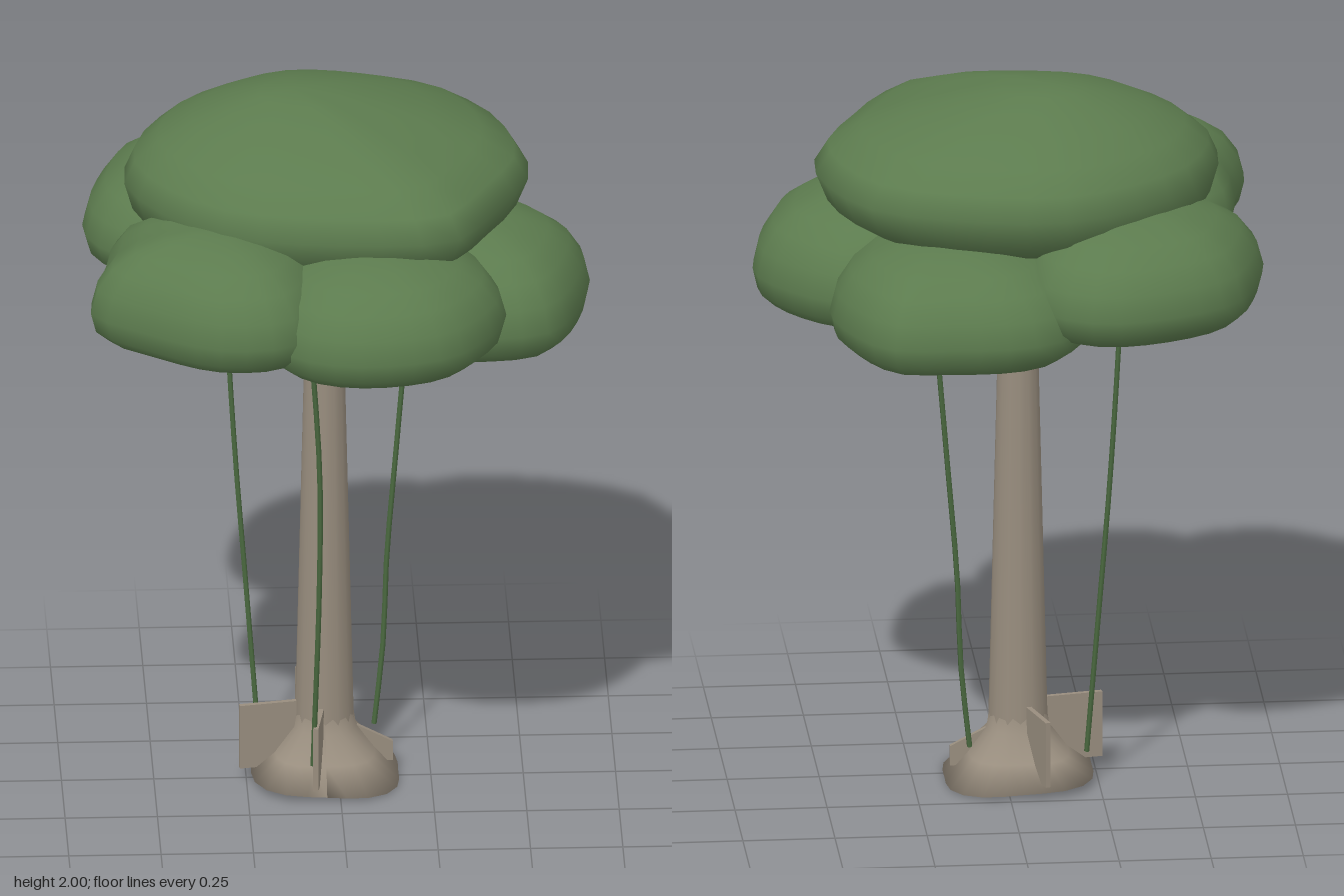
import * as THREE from 'three';
import { mergeVertices } from 'three/addons/utils/BufferGeometryUtils.js';

const material = (name, color, side = THREE.FrontSide) => {
  const m = new THREE.MeshStandardMaterial({ color, side });
  m.name = name;
  return m;
};

// Cushion profiles from crest to underside: [share of plan outline, share of height]
const CUSHION = [[0, 1], [0.2, 0.99], [0.42, 0.95], [0.65, 0.86], [0.83, 0.73], [0.95, 0.55],
  [1, 0.34], [0.96, 0.17], [0.85, 0.07], [0.6, 0.02], [0.3, 0], [0, 0]];
const CAP = [[0, 1], [0.2, 0.98], [0.4, 0.91], [0.6, 0.82], [0.8, 0.7], [0.94, 0.56],
  [1, 0.4], [0.95, 0.2], [0.82, 0.07], [0.5, 0], [0, 0]];

// Foliage lofted from a plan outline (x, z); rings slide towards the crest as they rise
function foliageGeometry(outline, crest, bottom, top, profile) {
  const curve = new THREE.CatmullRomCurve3(outline.map(([x, z]) => new THREE.Vector3(x, 0, z)), true);
  const sides = 30;
  const rim = curve.getSpacedPoints(sides).slice(0, sides);
  const positions = [];
  const index = [];
  profile.forEach(([share, h], i) => {
    rim.forEach((p, j) => {
      positions.push(crest[0] + (p.x - crest[0]) * share, bottom + (top - bottom) * h,
        crest[1] + (p.z - crest[1]) * share);
      if (i === profile.length - 1) return;
      const a = i * sides + j, c = i * sides + (j + 1) % sides;
      index.push(a, c, a + sides, c, c + sides, a + sides);
    });
  });
  let geo = new THREE.BufferGeometry();
  geo.setAttribute('position', new THREE.Float32BufferAttribute(positions, 3));
  geo.setIndex(index);
  geo = mergeVertices(geo, 1e-4);
  geo.computeVertexNormals();
  return geo;
}

export function createModel() {
  const tree = new THREE.Group();
  tree.name = 'tree';
  const bark = material('bark', 0x988d7e, THREE.DoubleSide);
  const leaf = material('leaf green', 0x5c7b4e);
  const vineGreen = material('vine green', 0x4b6a40);

  const add = (parent, name, geo, mat) => {
    const mesh = new THREE.Mesh(geo, mat);
    mesh.name = name;
    parent.add(mesh);
    return mesh;
  };

  // Trunk, roots and branches share one axis
  const wood = new THREE.Group();
  wood.name = 'wood';
  wood.position.set(-0.037, 0, -0.03);
  tree.add(wood);

  // Tapered trunk
  add(wood, 'trunk', new THREE.CylinderGeometry(0.05, 0.082, 1.34, 14).translate(0, 0.79, 0), bark);

  // Flared root base with four diagonal lobes, closed underneath
  const flareProfile = [[0.001, 0.012], [0.12, 0.012], [0.215, 0.012], [0.145, 0.075], [0.085, 0.145], [0.075, 0.21]]
    .map(([r, y]) => new THREE.Vector2(r, y));
  const flare = new THREE.LatheGeometry(flareProfile, 24);
  const fp = flare.attributes.position;
  for (let i = 0; i < fp.count; i++) {
    const x = fp.getX(i), z = fp.getZ(i), y = fp.getY(i);
    const k = y < 0.1 ? 1 - 0.07 * Math.cos(4 * Math.atan2(z, x)) : 1;
    fp.setXYZ(i, x * k, y < 0.02 ? y - 0.055 * x : y, z * k);
  }
  flare.computeVertexNormals();
  add(wood, 'rootFlare', flare, bark);

  // Thin upright buttress plates: angle about y, reach, top height inside and outside
  const fins = [
    [0, 0.185, 0.165, 0.09],
    [Math.PI / 2 + 0.15, 0.212, 0.22, 0.22],
    [Math.PI - 0.18, 0.235, 0.22, 0.22],
    [-Math.PI / 2 - 0.3, 0.218, 0.22, 0.22],
  ];
  fins.forEach(([angle, reach, inner, outer]) => {
    const shape = new THREE.Shape([[0.04, 0.035], [reach, 0.035], [reach, outer], [0.04, inner]]
      .map(([x, y]) => new THREE.Vector2(x, y)));
    const geo = new THREE.ExtrudeGeometry(shape, { depth: 0.014, bevelEnabled: false });
    geo.translate(0, 0, -0.007);
    add(wood, 'buttressRoot', geo, bark).rotation.y = -angle;
  });

  // Short branches fanning into the crown
  for (let i = 0; i < 5; i++) {
    const a = i * Math.PI * 0.4 + 0.3;
    const path = new THREE.LineCurve3(new THREE.Vector3(0, 1.38, 0),
      new THREE.Vector3(0.2 * Math.cos(a), 1.55, 0.2 * Math.sin(a)));
    add(wood, 'branch', new THREE.TubeGeometry(path, 1, 0.018, 6), bark);
  }

  // Crown: one wide cap over five lower cushions
  const crown = new THREE.Group();
  crown.name = 'crown';
  tree.add(crown);
  const foliage = (name, ...shape) => add(crown, name, foliageGeometry(...shape), leaf);

  foliage('topFoliage', [[-0.58, 0], [-0.52, -0.27], [-0.39, -0.42], [-0.12, -0.555], [0.27, -0.48],
    [0.42, -0.37], [0.52, -0.04], [0.42, 0.22], [0.3, 0.42], [0.2, 0.445], [-0.26, 0.39], [-0.45, 0.25]],
  [-0.12, -0.09], 1.61, 2.0, CAP);
  foliage('backRightFoliage', [[0, -0.4], [0, -0.2], [-0.15, 0], [-0.4, 0.03], [-0.59, -0.05], [-0.68, -0.2],
    [-0.65, -0.43], [-0.58, -0.58], [-0.37, -0.695], [-0.19, -0.71], [-0.04, -0.6]],
  [-0.32, -0.34], 1.42, 1.74, CUSHION);
  foliage('backLeftFoliage', [[-0.1, -0.66], [0.02, -0.71], [0.2, -0.71], [0.37, -0.685], [0.5, -0.42],
    [0.48, -0.24], [0.42, -0.08], [0.2, 0], [-0.05, -0.05], [-0.2, -0.25], [-0.2, -0.48]],
  [0.18, -0.38], 1.355, 1.67, CUSHION);
  foliage('leftFoliage', [[0.48, -0.29], [0.64, -0.13], [0.68, -0.02], [0.62, 0.26], [0.55, 0.36], [0.43, 0.39],
    [0.2, 0.38], [0.03, 0.25], [0, 0.05], [0.05, -0.2], [0.25, -0.31]],
  [0.36, 0.04], 1.35, 1.68, CUSHION);
  foliage('frontFoliage', [[0.44, 0.37], [0.41, 0.48], [0.28, 0.65], [0.03, 0.705], [-0.14, 0.64], [-0.24, 0.45],
    [-0.22, 0.2], [-0.05, 0.04], [0.2, 0.02], [0.38, 0.15]],
  [0.08, 0.38], 1.42, 1.73, CUSHION);
  foliage('frontRightFoliage', [[-0.05, 0.43], [-0.14, 0.63], [-0.34, 0.655], [-0.56, 0.52], [-0.685, 0.4],
    [-0.65, 0.22], [-0.61, 0.04], [-0.45, -0.03], [-0.2, 0], [-0.05, 0.15]],
  [-0.34, 0.32], 1.45, 1.77, CUSHION);

  // Hanging vines
  const vines = [
    [[-0.305, 1.55, -0.205], [-0.3, 1.36, -0.2], [-0.275, 0.9, -0.18], [-0.245, 0.5, -0.16], [-0.215, 0.1, -0.135]],
    [[-0.095, 1.55, 0.27], [-0.085, 1.4, 0.262], [-0.06, 1.0, 0.23], [-0.06, 0.65, 0.205], [-0.075, 0.1, 0.15]],
    [[0.215, 1.5, -0.145], [0.2, 1.36, -0.14], [0.16, 0.9, -0.125], [0.135, 0.6, -0.115], [0.125, 0.35, -0.11], [0.1, 0.11, -0.1]],
  ];
  vines.forEach((points) => {
    const curve = new THREE.CatmullRomCurve3(points.map((p) => new THREE.Vector3(...p)));
    add(tree, 'vine', new THREE.TubeGeometry(curve, 12, 0.0075, 5), vineGreen);
  });

  return tree;
}
